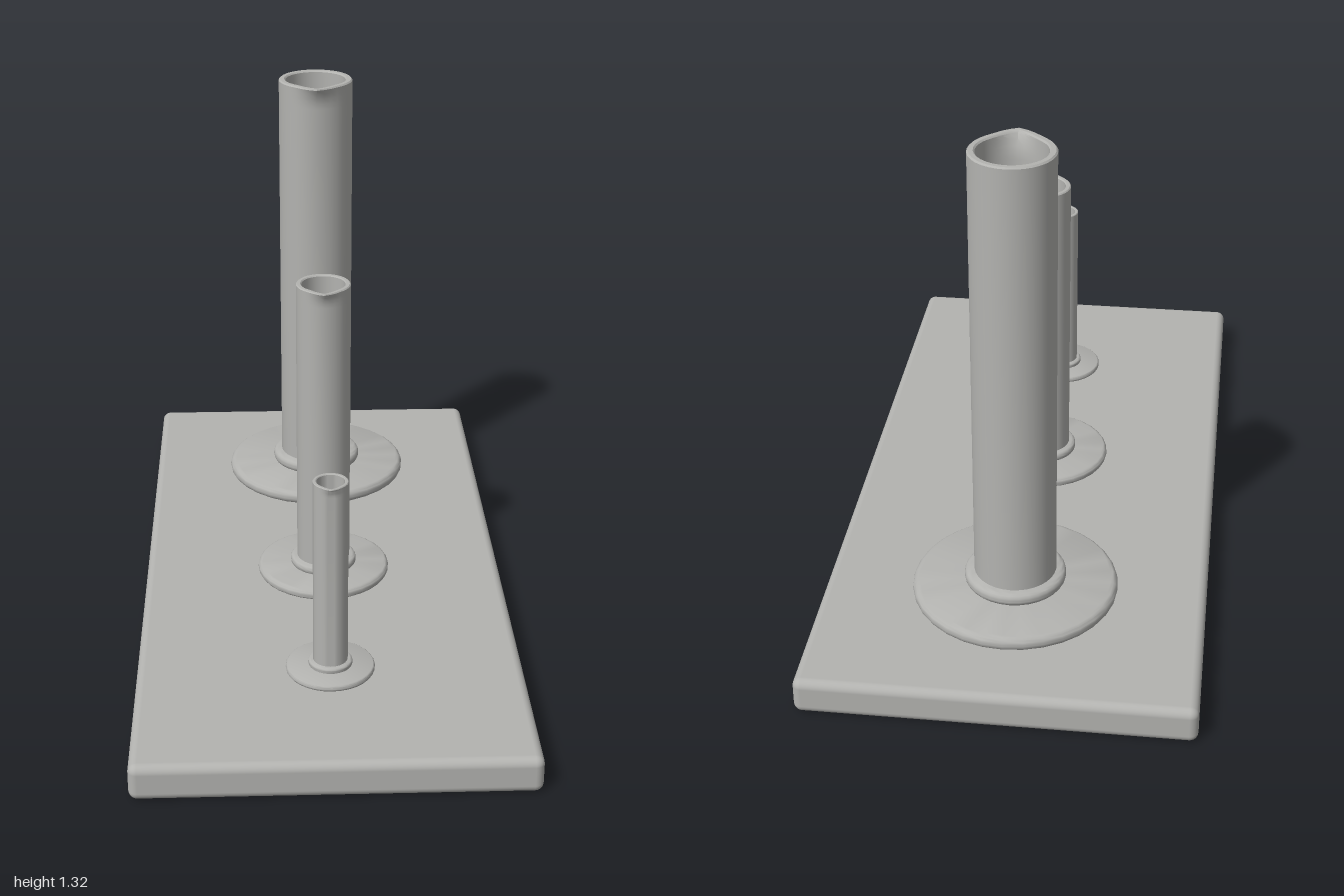
import * as THREE from 'three';
import { toCreasedNormals } from 'three/addons/utils/BufferGeometryUtils.js';
import { RoundedBoxGeometry } from 'three/addons/geometries/RoundedBoxGeometry.js';

const BOARD_TOP = 0.095;
const SIDES = 32;

const grey = new THREE.MeshStandardMaterial({ color: 0xb3b3b0 });
grey.name = 'grey';

function lathe(points) {
  return new THREE.LatheGeometry(points.map(([r, y]) => new THREE.Vector2(r, y)), SIDES);
}

// Solid disc with rounded upper and lower rims
function roundedDisc(radius, y0, y1, bevel) {
  const points = [[0, y0]];
  for (const [cy, start] of [[y0 + bevel, -Math.PI / 2], [y1 - bevel, 0]]) {
    for (let i = 0; i <= 4; i++) {
      const a = start + (i / 4) * Math.PI / 2;
      points.push([radius - bevel + bevel * Math.cos(a), cy + bevel * Math.sin(a)]);
    }
  }
  points.push([0, y1]);
  return toCreasedNormals(lathe(points), 0.6);
}

// Hollow tube whose rim is pulled forward into a pouring lip
function spoutedTube({ radius, inner, top, spout }, floor) {
  const lip = radius * 0.6;
  const steps = [1, 0.75, 0.5, 0.25, 0.1];
  const edge = (radius - inner) * 0.2;
  const points = [
    [radius, floor - 0.02],
    ...steps.map((s) => [radius, top - lip * s]),
    [radius, top - edge], [radius - edge, top],
    [inner + edge, top], [inner, top - edge],
    ...steps.slice().reverse().map((s) => [inner, top - lip * s]),
    [inner, floor], [0, floor],
  ];
  const geometry = lathe(points);
  const p = geometry.attributes.position;
  for (let i = 0; i < p.count; i++) {
    const x = p.getX(i), y = p.getY(i), z = p.getZ(i);
    const angle = Math.abs(Math.atan2(x, z));
    const rise = Math.max(0, (y - top + lip) / lip);
    const side = Math.max(0, 1 - angle / 0.65);
    if (Math.hypot(x, z) > inner * 0.9) p.setZ(i, z + (spout - radius) * rise ** 2 * side);
  }
  return toCreasedNormals(geometry, 0.6);
}

function addMesh(parent, name, geometry) {
  const mesh = new THREE.Mesh(geometry, grey);
  mesh.name = name;
  parent.add(mesh);
  return mesh;
}

export function createModel() {
  const model = new THREE.Group();
  model.name = 'measuringCylinderSet';

  // Board
  const board = addMesh(model, 'board', new RoundedBoxGeometry(0.98, BOARD_TOP, 2, 4, 0.022));
  board.position.y = BOARD_TOP / 2;

  // Three cylinders in rising sizes
  const cylinders = [
    { name: 'smallCylinder', z: 0.585, radius: 0.044, inner: 0.035, top: 0.625, spout: 0.053, foot: 0.113, footTop: 0.112, collar: 0.056, collarTop: 0.126 },
    { name: 'mediumCylinder', z: 0.073, radius: 0.072, inner: 0.058, top: 0.943, spout: 0.089, foot: 0.18, footTop: 0.122, collar: 0.09, collarTop: 0.144 },
    { name: 'largeCylinder', z: -0.567, radius: 0.105, inner: 0.086, top: 1.323, spout: 0.13, foot: 0.263, footTop: 0.133, collar: 0.13, collarTop: 0.165 },
  ];
  for (const c of cylinders) {
    const group = new THREE.Group();
    group.name = c.name;
    group.position.z = c.z;
    addMesh(group, 'foot', roundedDisc(c.foot, BOARD_TOP - 0.001, c.footTop, (c.footTop - BOARD_TOP) * 0.48));
    addMesh(group, 'collar', roundedDisc(c.collar, c.footTop - 0.004, c.collarTop, (c.collarTop - c.footTop) * 0.5));
    addMesh(group, 'tube', spoutedTube(c, c.collarTop + 0.005));
    model.add(group);
  }
  return model;
}
